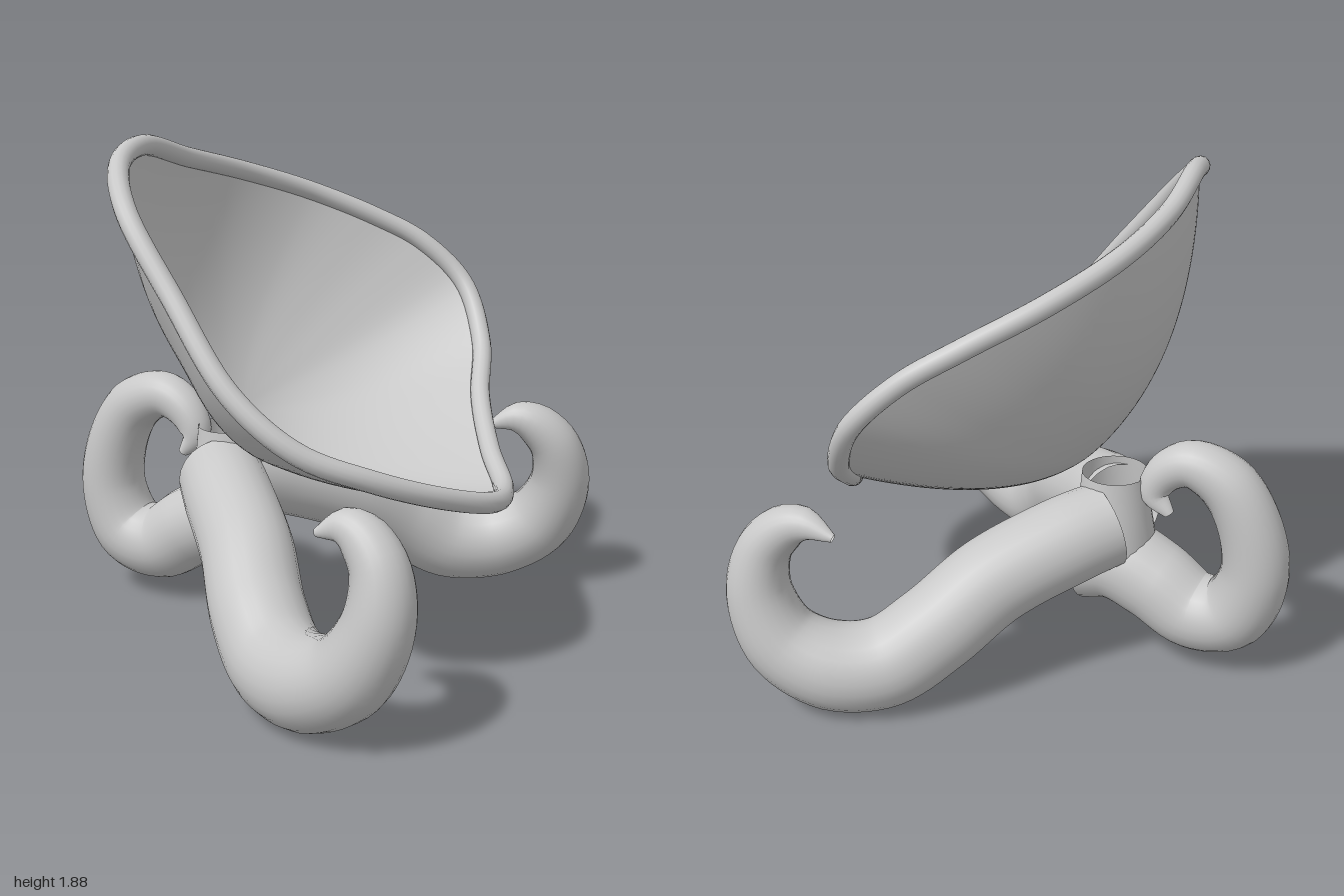
import * as THREE from 'three';
import { ParametricGeometry } from 'three/addons/geometries/ParametricGeometry.js';

const V = (p) => new THREE.Vector3(...p);

// Tube along a curve, with one radius per control point
function taperedTube(points, radii, segments = 72, sides = 24) {
  const curve = new THREE.CatmullRomCurve3(points.map(V));
  const geo = new THREE.TubeGeometry(curve, segments, 1, sides, false);
  const pos = geo.attributes.position, nor = geo.attributes.normal;
  for (let i = 0; i <= segments; i++) {
    const c = curve.getPointAt(i / segments);
    const f = curve.getUtoTmapping(i / segments) * (radii.length - 1);
    const k = Math.min(Math.floor(f), radii.length - 2);
    const r = THREE.MathUtils.lerp(radii[k], radii[k + 1], f - k);
    for (let j = 0; j <= sides; j++) {
      const n = i * (sides + 1) + j;
      pos.setXYZ(n, c.x + nor.getX(n) * r, c.y + nor.getY(n) * r, c.z + nor.getZ(n) * r);
    }
  }
  return geo;
}

export function createModel() {
  const group = new THREE.Group();
  const grey = new THREE.MeshStandardMaterial({ color: 0xc8c8c8, side: THREE.DoubleSide });
  grey.name = 'plain grey';
  const add = (name, geo) => {
    const mesh = new THREE.Mesh(geo, grey);
    mesh.name = name;
    group.add(mesh);
    return mesh;
  };

  // Wavy rim of the seat
  const rim = new THREE.CatmullRomCurve3([
    [-0.415, 1.842, 0.32], [-0.36, 1.795, 0.54], [-0.22, 1.66, 0.71], [0.01, 1.4, 0.79],
    [0.26, 1.11, 0.84], [0.47, 0.935, 0.785], [0.66, 0.83, 0.63], [0.82, 0.725, 0.38],
    [0.892, 0.655, 0.13], [0.84, 0.635, -0.1], [0.7, 0.7, -0.32], [0.55, 0.84, -0.58],
    [0.46, 1.01, -0.8], [0.33, 1.22, -0.915], [0.16, 1.385, -0.875], [-0.01, 1.49, -0.775],
    [-0.22, 1.605, -0.59], [-0.37, 1.7, -0.32], [-0.43, 1.775, 0],
  ].map(V), true);
  add('seatRim', new THREE.TubeGeometry(rim, 140, 0.038, 14, true));

  // Dished seat shell: spokes to the rim, bulged by a parabola
  const centre = V([0.23, 1.21, 0]);
  const depth = V([-0.42, -0.37, 0]);
  const axis = depth.clone().normalize();
  add('seatShell', new ParametricGeometry((u, v, target) => {
    const t = Math.max(v, 0.002);
    target.copy(rim.getPoint(u % 1)).sub(centre);
    const lift = target.dot(axis);
    target.addScaledVector(axis, -lift).multiplyScalar(t)
      .addScaledVector(axis, lift * t * t)
      .add(centre).addScaledVector(depth, 1 - t * t);
  }, 96, 28));

  // Two curled front legs, mirrored across z
  const sideLeg = [
    [-0.245, 0.56, 0.08], [-0.13, 0.525, 0.21], [0.07, 0.425, 0.42], [0.22, 0.285, 0.6],
    [0.37, 0.178, 0.725], [0.54, 0.18, 0.82], [0.71, 0.27, 0.86], [0.8, 0.45, 0.85],
    [0.785, 0.61, 0.815], [0.71, 0.695, 0.785], [0.64, 0.715, 0.77], [0.53, 0.675, 0.76],
  ];
  const sideRadii = [0.165, 0.17, 0.17, 0.17, 0.17, 0.165, 0.145, 0.12, 0.1, 0.085, 0.065, 0.015];
  for (const s of [1, -1]) {
    add(s > 0 ? 'frontLeg' : 'backLeg',
      taperedTube(sideLeg.map(([x, y, z]) => [x, y, z * s]), sideRadii));
  }

  // Third curled leg along -x
  add('rearLeg', taperedTube([
    [-0.13, 0.36, 0], [-0.26, 0.38, 0], [-0.42, 0.315, 0], [-0.58, 0.22, 0],
    [-0.73, 0.25, 0], [-0.81, 0.42, 0], [-0.785, 0.62, 0], [-0.69, 0.78, 0],
    [-0.55, 0.835, 0], [-0.45, 0.78, 0], [-0.41, 0.69, 0], [-0.47, 0.61, 0],
  ], [0.165, 0.165, 0.16, 0.15, 0.145, 0.13, 0.12, 0.11, 0.09, 0.075, 0.06, 0.02]));

  // Open flared collar where the legs meet
  const hub = add('hubCollar', new THREE.LatheGeometry(
    [[0.11, 0.28], [0.155, 0.36], [0.165, 0.45], [0.14, 0.6], [0.125, 0.75]]
      .map(([r, y]) => new THREE.Vector2(r, y)), 28));
  hub.position.x = -0.25;

  return group;
}
